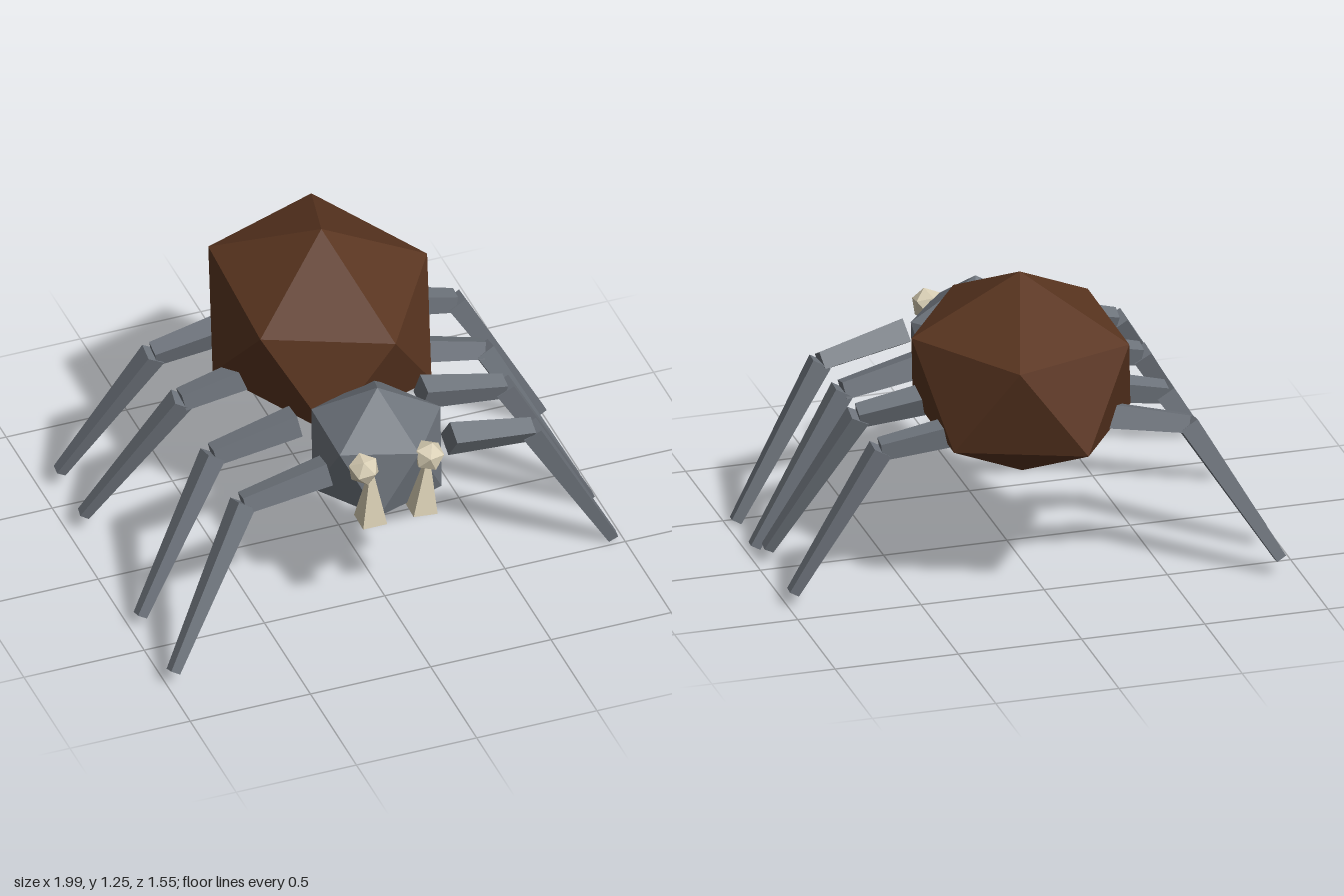
import * as THREE from 'three';

const mat = (name, color) => {
  const m = new THREE.MeshStandardMaterial({ color, flatShading: true });
  m.name = name;
  return m;
};

// Icosahedron standing on one corner, stretched to the given radii
function facetedBall(name, material, pos, radii, rot = [0, 0, 0]) {
  const g = new THREE.IcosahedronGeometry(1, 0);
  g.rotateZ(-Math.atan(2 / (1 + Math.sqrt(5))));
  g.scale(...radii);
  const mesh = new THREE.Mesh(g, material);
  mesh.name = name;
  mesh.position.set(...pos);
  mesh.rotation.set(...rot);
  return mesh;
}

// Square bar from a to b, tapering from width wa to wb; roll turns it about its length
function taperedBar(name, material, a, b, wa, wb, roll = 0) {
  const A = new THREE.Vector3(...a), B = new THREE.Vector3(...b);
  const Y = B.clone().sub(A), len = Y.length();
  Y.normalize();
  const X = Y.clone().cross(new THREE.Vector3(0, Math.sin(roll), Math.cos(roll))).normalize();
  const Z = X.clone().cross(Y);
  const g = new THREE.CylinderGeometry(wb * Math.SQRT1_2, wa * Math.SQRT1_2, len, 4);
  g.rotateY(Math.PI / 4);
  g.applyMatrix4(new THREE.Matrix4().makeBasis(X, Y, Z).setPosition(A.add(B).multiplyScalar(0.5)));
  const mesh = new THREE.Mesh(g, material);
  mesh.name = name;
  return mesh;
}

export function createModel() {
  const brown = mat('abdomenBrown', 0x5a3520);
  const grey = mat('shellGrey', 0x6e747c);
  const cream = mat('boneCream', 0xd8ceb4);
  const model = new THREE.Group();
  model.name = 'spider';

  // Body
  model.add(
    facetedBall('abdomen', brown, [0.023, 0.845, -0.265], [0.49, 0.415, 0.585], [0.038, -0.03, 0]),
    facetedBall('head', grey, [0, 0.665, 0.41], [0.295, 0.295, 0.295], [0.034, 0, 0])
  );

  // Eyes and fangs
  model.add(
    facetedBall('rightEye', cream, [-0.143, 0.76, 0.645], [0.065, 0.065, 0.065], [0.5, 0.3, 0.2]),
    facetedBall('leftEye', cream, [0.125, 0.76, 0.65], [0.065, 0.065, 0.065], [0.3, 0.6, -0.2]),
    taperedBar('rightFang', cream, [-0.116, 0.73, 0.655], [-0.114, 0.51, 0.645], 0.02, 0.1),
    taperedBar('leftFang', cream, [0.118, 0.73, 0.655], [0.096, 0.51, 0.645], 0.02, 0.1)
  );

  // Legs, front to back on each side: hip, knee, foot, roll
  const legs = {
    left: [
      [[0.26, 0.715, 0.52], [0.61, 0.645, 0.485], [0.96, 0.025, 0.462], -0.5],
      [[0.265, 0.72, 0.2], [0.61, 0.65, 0.188], [0.965, 0.03, 0.195], -0.25],
      [[0.27, 0.715, -0.105], [0.625, 0.65, -0.07], [0.945, 0.065, 0.085], 0.35],
      [[0.27, 0.715, -0.44], [0.635, 0.65, -0.405], [0.975, 0.065, -0.355], 0.05]
    ],
    right: [
      [[-0.26, 0.715, 0.545], [-0.605, 0.645, 0.54], [-0.975, 0.075, 0.752], 0.25],
      [[-0.255, 0.715, 0.2], [-0.6, 0.645, 0.2], [-0.955, 0.06, 0.34], 0.15],
      [[-0.25, 0.715, -0.18], [-0.585, 0.645, -0.182], [-0.935, 0.085, -0.33], 0.15],
      [[-0.25, 0.715, -0.48], [-0.58, 0.645, -0.5], [-0.92, 0.085, -0.628], -0.25]
    ]
  };
  for (const side of ['left', 'right']) {
    legs[side].forEach(([hip, knee, foot, roll], i) => {
      const leg = new THREE.Group();
      leg.name = `${side}Leg${i + 1}`;
      leg.add(
        taperedBar('upperLeg', grey, hip, knee, 0.095, 0.07, roll),
        taperedBar('lowerLeg', grey, knee, foot, 0.078, 0.042, roll / 2)
      );
      model.add(leg);
    });
  }
  return model;
}
